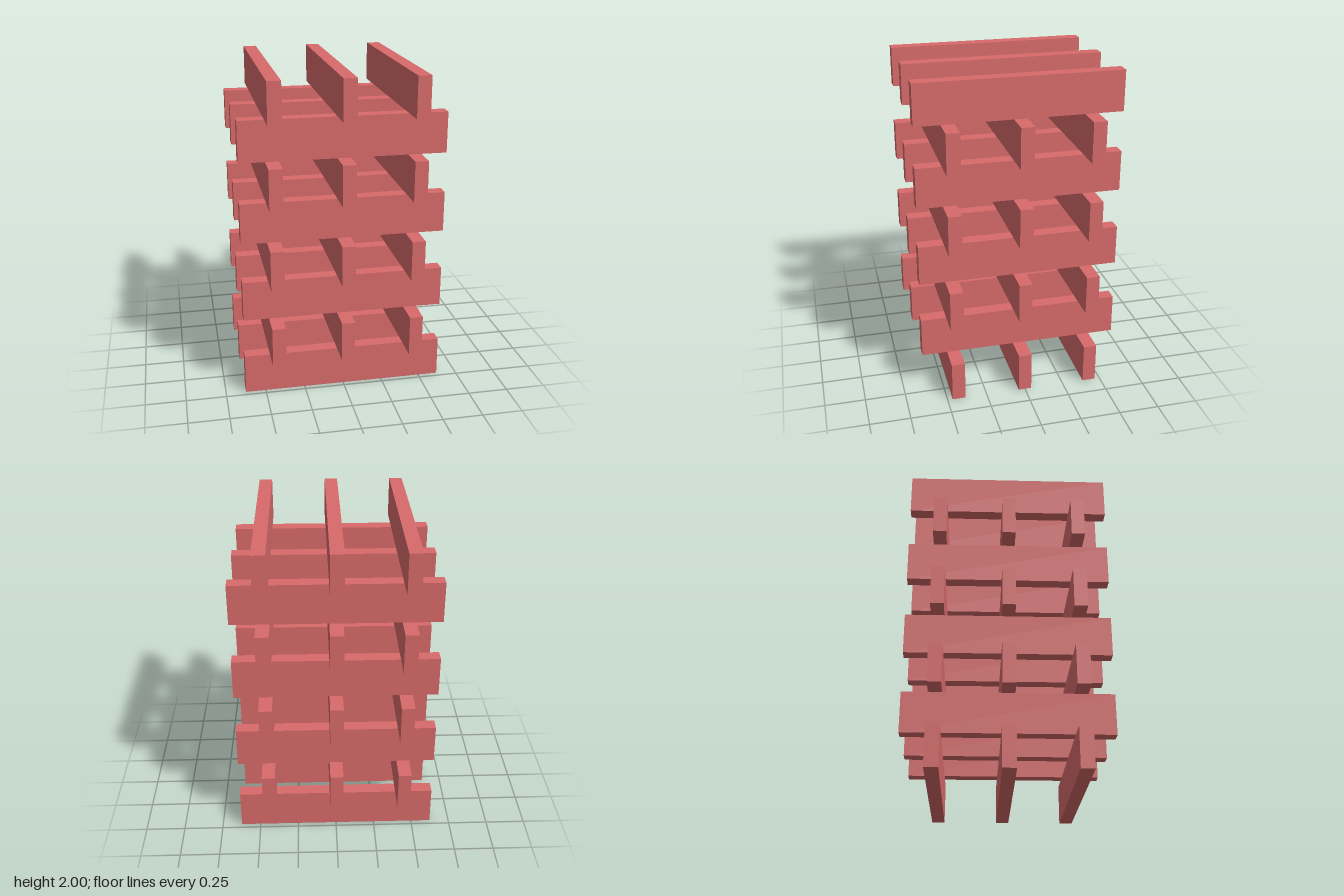
import * as THREE from 'three';

const LAYERS = 8;
const LENGTH = 1.25;
const HEIGHT = 2 / LAYERS;
const THICKNESS = 0.082;
const SPACING = 0.427;

export function createModel() {
  const model = new THREE.Group();
  model.name = 'plankTower';
  const material = new THREE.MeshStandardMaterial({ color: 0xd96b6b });
  const plankGeometry = new THREE.BoxGeometry(LENGTH, HEIGHT, THICKNESS);

  // Layers of three upright planks, each turned a quarter from the one below
  for (let i = 0; i < LAYERS; i++) {
    const layer = new THREE.Group();
    layer.name = `layer${i + 1}`;
    layer.position.y = (i + 0.5) * HEIGHT;
    layer.rotation.y = i % 2 ? Math.PI / 2 : 0;
    for (let j = -1; j <= 1; j++) {
      const plank = new THREE.Mesh(plankGeometry, material);
      plank.name = `plank${j + 2}`;
      plank.position.z = j * SPACING;
      layer.add(plank);
    }
    model.add(layer);
  }
  return model;
}
